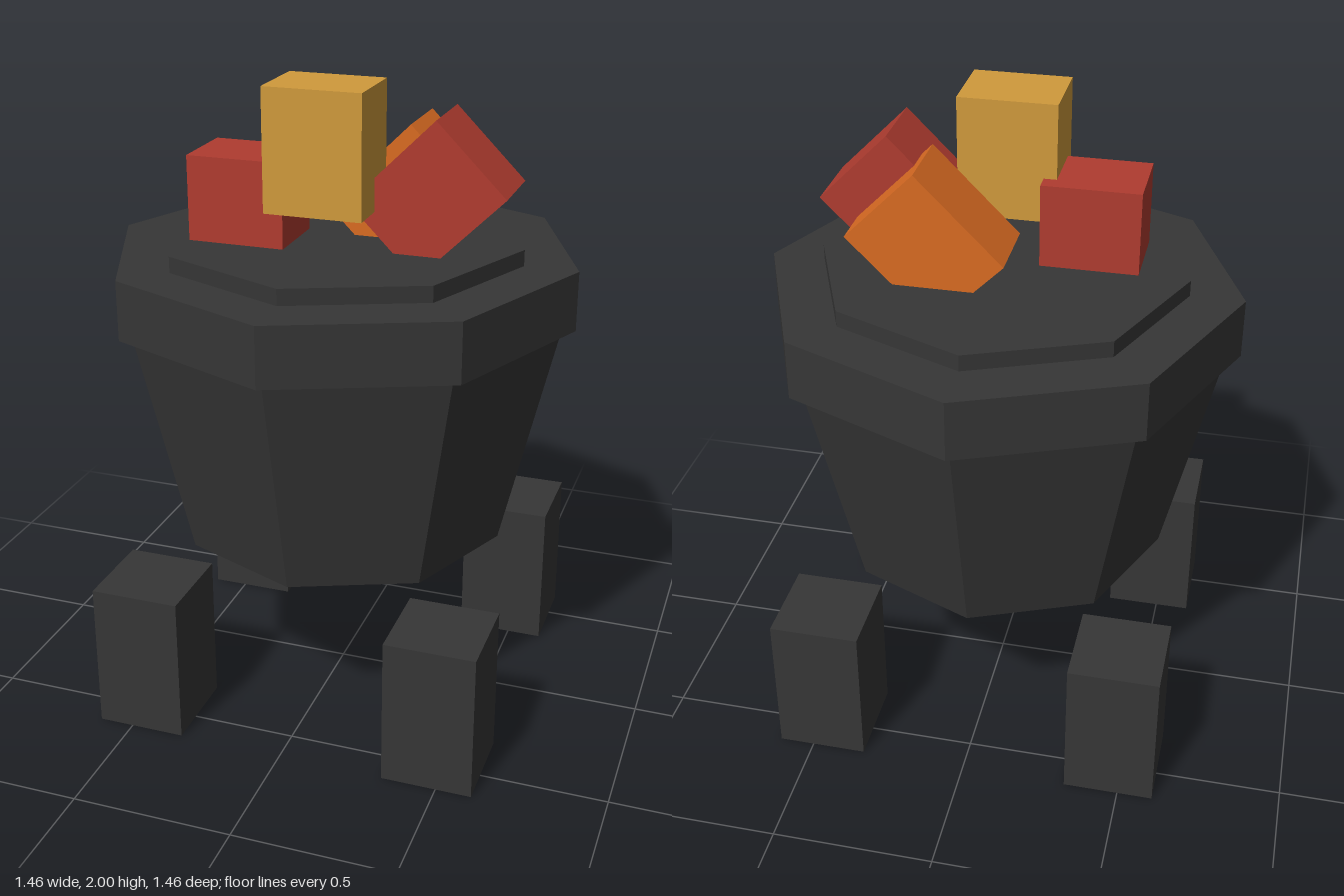
import * as THREE from 'three';

export function createModel() {
  const model = new THREE.Group();
  model.name = 'brazier';

  const material = (name, color) => {
    const m = new THREE.MeshStandardMaterial({ color, flatShading: true });
    m.name = name;
    return m;
  };
  const iron = material('dark iron', 0x363636);
  const red = material('ember red', 0xb03c30);
  const orange = material('ember orange', 0xd96b22);
  const gold = material('flame gold', 0xd09a3c);

  const add = (name, geometry, mat, x, y, z, turn = 0) => {
    const mesh = new THREE.Mesh(geometry, mat);
    mesh.name = name;
    mesh.position.set(x, y, z);
    mesh.rotation.z = turn;
    model.add(mesh);
  };

  // Octagonal section between two heights, corners on the x and z axes
  const octagon = (name, topRadius, bottomRadius, y0, y1) =>
    add(name, new THREE.CylinderGeometry(topRadius, bottomRadius, y1 - y0, 8), iron, 0, (y0 + y1) / 2, 0);

  octagon('bowl', 0.69, 0.52, 0.55, 1.28);
  octagon('rim', 0.73, 0.73, 1.275, 1.46);
  octagon('coalBed', 0.565, 0.565, 1.455, 1.51);

  // Four free-standing feet
  const foot = new THREE.BoxGeometry(0.28, 0.47, 0.28);
  for (const x of [-0.47, 0.47]) {
    for (const z of [-0.47, 0.47]) add('foot', foot, iron, x, 0.235, z);
  }

  // Blocky flames, all the same size, two of them tipped over
  const flame = new THREE.BoxGeometry(0.3, 0.37, 0.23);
  add('leftFlame', flame, red, -0.26, 1.585, 0.115);
  add('topFlame', flame, gold, 0, 1.815, 0.165);
  add('backFlame', flame, orange, 0.19, 1.625, -0.095, -Math.PI / 4);
  add('rightFlame', flame, red, 0.305, 1.675, 0.045, -Math.PI / 4);

  return model;
}
